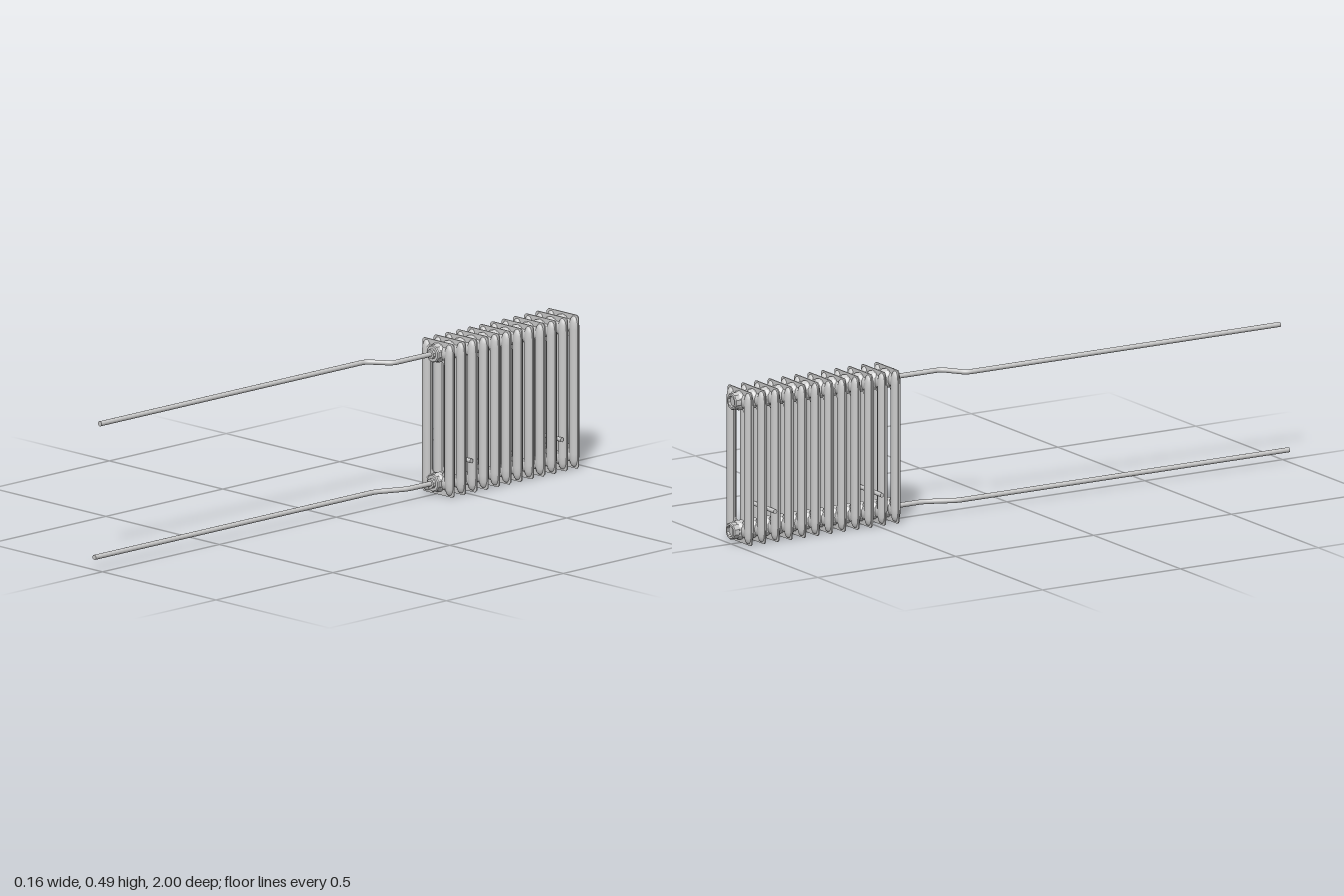
import * as THREE from 'three';

const material = new THREE.MeshStandardMaterial({ color: 0xcccccc });
const CX = 0.0075, HEIGHT = 0.485, HALF_W = 0.0695;
const COUNT = 12, FIRST_Z = -0.43, PITCH = 0.0484;
const HUB_Y = [0.039, 0.448];

function add(parent, name, geometry, x = 0, y = 0, z = 0) {
  const mesh = new THREE.Mesh(geometry, material);
  mesh.name = name;
  mesh.position.set(x, y, z);
  parent.add(mesh);
  return mesh;
}

// Closed outline of a rectangle with cut corners
function cutRect(target, x0, y0, x1, y1, c) {
  target.setFromPoints([
    [x0 + c, y0], [x1 - c, y0], [x1, y0 + c], [x1, y1 - c],
    [x1 - c, y1], [x0 + c, y1], [x0, y1 - c], [x0, y0 + c],
  ].map(([x, y]) => new THREE.Vector2(x, y)));
  target.closePath();
  return target;
}

// Turned part along z, from pairs of [radius, z]
function turnedZ(profile, sides) {
  const points = profile.map(([r, z]) => new THREE.Vector2(r, z));
  return new THREE.LatheGeometry(points, sides).rotateX(Math.PI / 2).toNonIndexed();
}

function flat(geometry) {
  geometry.computeVertexNormals();
  return geometry;
}

// Thin casting seam that frames each section
function flangeGeometry() {
  const shape = cutRect(new THREE.Shape(), CX - HALF_W, 0, CX + HALF_W, HEIGHT, 0.007);
  shape.holes.push(cutRect(new THREE.Path(), CX - 0.026, 0.066, CX + 0.026, 0.421, 0.008));
  return new THREE.ExtrudeGeometry(shape, { depth: 0.004, bevelEnabled: false }).translate(0, 0, -0.002);
}

// Oval water column with tapering ends
function columnGeometry() {
  const half = [[0, 0.004], [0.007, 0.006], [0.012, 0.012], [0.0155, 0.024], [0.017, 0.045]];
  const profile = [...half, ...half.slice().reverse().map(([r, y]) => [r, HEIGHT - y])];
  const points = profile.map(([r, y]) => new THREE.Vector2(r, y));
  return new THREE.LatheGeometry(points, 16).scale(1, 1, 0.88);
}

// Pipe through corner points, with softened bends
function pipeGeometry(points) {
  const v = points.map((p) => new THREE.Vector3(...p));
  const path = new THREE.CurvePath();
  let from = v[0];
  for (let i = 1; i < v.length - 1; i++) {
    const inDir = v[i - 1].clone().sub(v[i]).setLength(0.018);
    const outDir = v[i + 1].clone().sub(v[i]).setLength(0.018);
    const a = v[i].clone().add(inDir), b = v[i].clone().add(outDir);
    path.add(new THREE.LineCurve3(from, a));
    path.add(new THREE.QuadraticBezierCurve3(a, v[i], b));
    from = b;
  }
  path.add(new THREE.LineCurve3(from, v[v.length - 1]));
  return new THREE.TubeGeometry(path, 300, 0.008, 12, false);
}

export function createModel() {
  const model = new THREE.Group();
  model.name = 'columnRadiator';

  const flange = flangeGeometry();
  const column = columnGeometry();
  const cross = new THREE.CylinderGeometry(0.021, 0.021, 0.1, 12).rotateZ(Math.PI / 2).scale(1, 1, 0.62);
  const hub = flat(turnedZ([[0.024, -0.0243], [0.027, -0.014], [0.031, -0.007],
    [0.031, 0.007], [0.027, 0.014], [0.024, 0.0243]], 12));

  // Repeated sections
  for (let i = 0; i < COUNT; i++) {
    const section = new THREE.Group();
    section.name = 'section';
    section.position.z = FIRST_Z - i * PITCH;
    add(section, 'flange', flange);
    for (const side of [-1, 1]) add(section, 'column', column, CX + side * 0.05);
    for (const y of HUB_Y) {
      add(section, 'crossChannel', cross, CX, y);
      add(section, 'hub', hub, CX, y);
    }
    model.add(section);
  }

  // End plugs, with a collar in front and a recessed cap at the back
  const collar = flat(turnedZ([[0.024, -0.012], [0.028, -0.008], [0.028, 0.006], [0.025, 0.009],
    [0.016, 0.009], [0.015, 0.018], [0.0, 0.018]], 10));
  const cap = flat(turnedZ([[0, -0.006], [0.017, -0.006], [0.018, -0.014], [0.024, -0.014],
    [0.027, -0.011], [0.027, 0.006], [0.022, 0.012]], 10));
  HUB_Y.forEach((y, i) => {
    add(model, 'frontPlug', collar, CX, y, -0.412);
    add(model, 'backPlug', cap, CX, y, i ? -0.981 : -0.986);
  });

  // Supply and return pipes
  const [low, high] = HUB_Y;
  const pipes = [
    ['supplyPipe', [[CX, high, -0.41], [CX, high, -0.235], [-0.063, high, -0.185], [-0.063, high, 0.95]]],
    ['returnPipe', [[CX, low, -0.41], [CX, low, -0.3], [-0.036, low, -0.2], [-0.036, low, 1]]],
  ];
  for (const [name, points] of pipes) {
    add(model, name, pipeGeometry(points));
    const [x, y, z] = points[points.length - 1];
    add(model, name + 'End', new THREE.CircleGeometry(0.008, 12), x, y, z);
  }

  // Wall bracket rods between sections
  const rod = new THREE.CylinderGeometry(0.007, 0.007, 0.159, 12).rotateZ(Math.PI / 2);
  for (const gap of [1.5, 9.5]) add(model, 'bracketRod', rod, -0.001, 0.105, FIRST_Z - gap * PITCH);

  return model;
}
